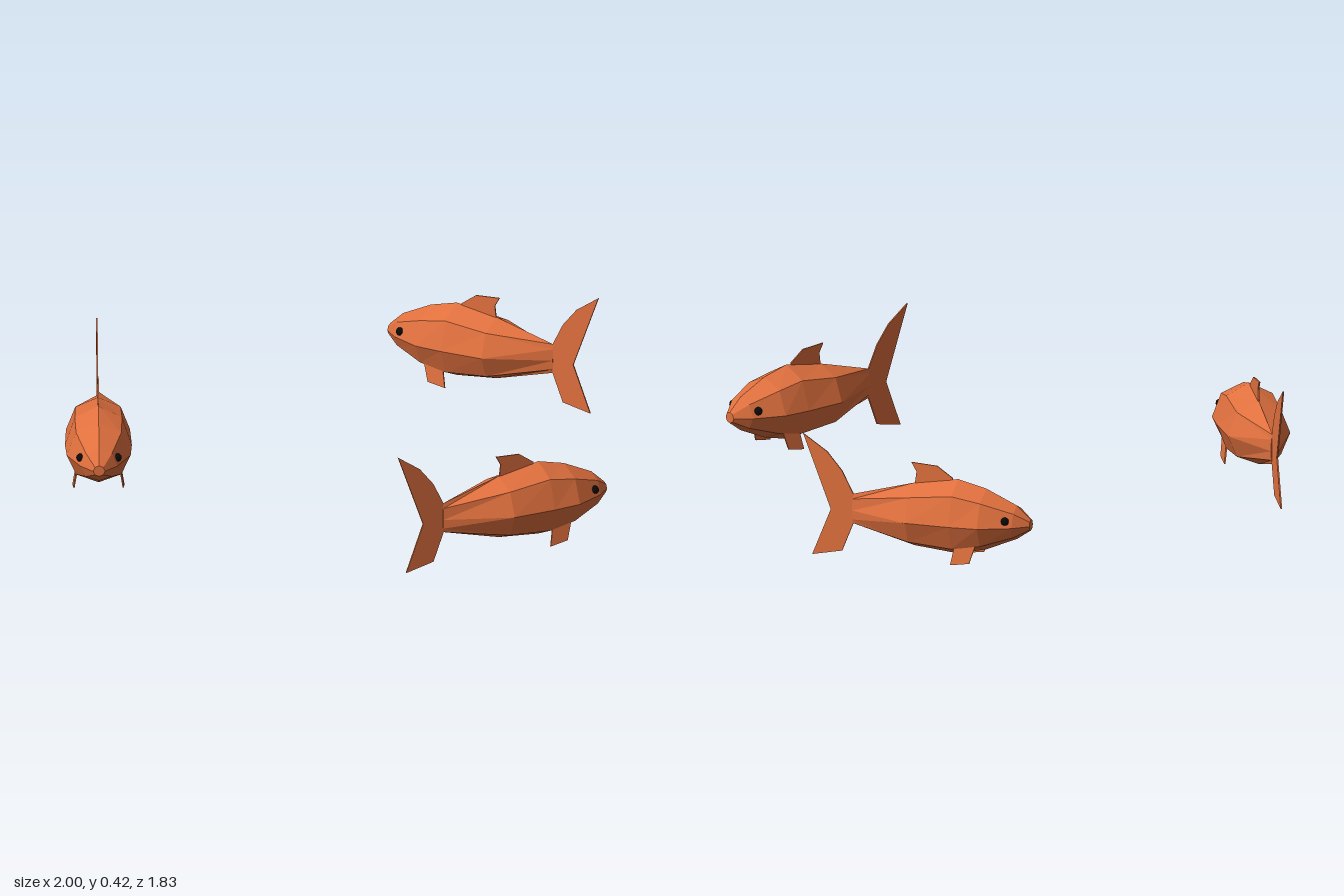
import * as THREE from 'three';

const orange = new THREE.MeshStandardMaterial({ color: 0xe0703e, flatShading: true, side: THREE.DoubleSide });
const black = new THREE.MeshStandardMaterial({ color: 0x0a0a0a });

// Fish frame: nose towards +x, y up, middle of the length at x = 0.
const MID = 0.17;
const SIDES = 8;
// Cross-sections from nose to tail root: [x, half width, top, bottom]
const SECTIONS = [
  [0.408, 0.02, 0.19, 0.152],
  [0.358, 0.062, 0.235, 0.118],
  [0.25, 0.108, 0.285, 0.073],
  [0.15, 0.113, 0.31, 0.05],
  [-0.005, 0.108, 0.285, 0.066],
  [-0.225, 0.006, 0.227, 0.125],
];

// Eight-sided body lofted through the cross-sections and capped at both ends
function bodyGeometry() {
  const pos = [], index = [];
  for (const [x, w, top, bottom] of SECTIONS) {
    for (let k = 0; k < SIDES; k++) {
      const a = (k / SIDES) * Math.PI * 2, s = Math.sin(a);
      pos.push(x, MID + s * (s > 0 ? top - MID : MID - bottom), w * Math.cos(a));
    }
  }
  const last = SECTIONS.length - 1;
  const nose = pos.length / 3, tail = nose + 1;
  pos.push(SECTIONS[0][0], MID, 0, SECTIONS[last][0], MID, 0);
  for (let k = 0; k < SIDES; k++) {
    const n = (k + 1) % SIDES;
    for (let i = 0; i < last; i++) {
      const a = i * SIDES, b = a + SIDES;
      index.push(a + k, a + n, b + k, a + n, b + n, b + k);
    }
    index.push(nose, n, k, tail, last * SIDES + k, last * SIDES + n);
  }
  const g = new THREE.BufferGeometry();
  g.setAttribute('position', new THREE.Float32BufferAttribute(pos, 3));
  g.setIndex(index);
  g.computeVertexNormals();
  return g;
}

// Thin flat fin from an outline in the x-y plane, centred on z = 0
function finGeometry(points, depth = 0.005) {
  const shape = new THREE.Shape(points.map(([x, y]) => new THREE.Vector2(x, y)));
  const g = new THREE.ExtrudeGeometry(shape, { depth, bevelEnabled: false });
  return g.translate(0, 0, -depth / 2);
}

function addMesh(parent, name, geometry, material = orange) {
  const mesh = new THREE.Mesh(geometry, material);
  mesh.name = name;
  parent.add(mesh);
  return mesh;
}

function createFish() {
  const fish = new THREE.Group();
  addMesh(fish, 'body', bodyGeometry());

  // Forked tail with a longer upper lobe
  addMesh(fish, 'tailFin', finGeometry([
    [-0.222, 0.227], [-0.262, 0.305], [-0.315, 0.368], [-0.4, 0.425],
    [-0.302, 0.168], [-0.368, 0.005], [-0.262, 0.026], [-0.222, 0.125],
  ]));

  addMesh(fish, 'dorsalFin', finGeometry([
    [0.13, 0.28], [0.13, 0.312], [0.075, 0.35], [-0.016, 0.356],
    [0.002, 0.325], [-0.005, 0.27],
  ]));

  // Paired lower fins and eyes
  const lowerFin = finGeometry([
    [0.235, 0.02], [0.215, -0.045], [0.148, -0.055], [0.162, 0.015],
  ]);
  for (const [side, sign] of [['left', -1], ['right', 1]]) {
    const fin = addMesh(fish, side + 'LowerFin', lowerFin);
    fin.position.set(0, 0.085, sign * 0.077);
    fin.rotation.x = -sign * 0.15;
    const eye = addMesh(fish, side + 'Eye', new THREE.SphereGeometry(0.014, 12, 8), black);
    eye.position.set(0.335, 0.193, sign * 0.063);
  }
  return fish;
}

export function createModel() {
  const school = new THREE.Group();
  school.name = 'fishSchool';
  // Three fish following one another around a circle
  for (let i = 0; i < 3; i++) {
    const angle = THREE.MathUtils.degToRad(-91.1 + i * 120);
    const fish = createFish();
    fish.name = 'fish' + (i + 1);
    fish.position.set(-0.017 + 0.9 * Math.cos(angle), 0, 0.095 + 0.9 * Math.sin(angle));
    fish.rotation.y = Math.PI / 2 - angle;
    school.add(fish);
  }
  return school;
}
